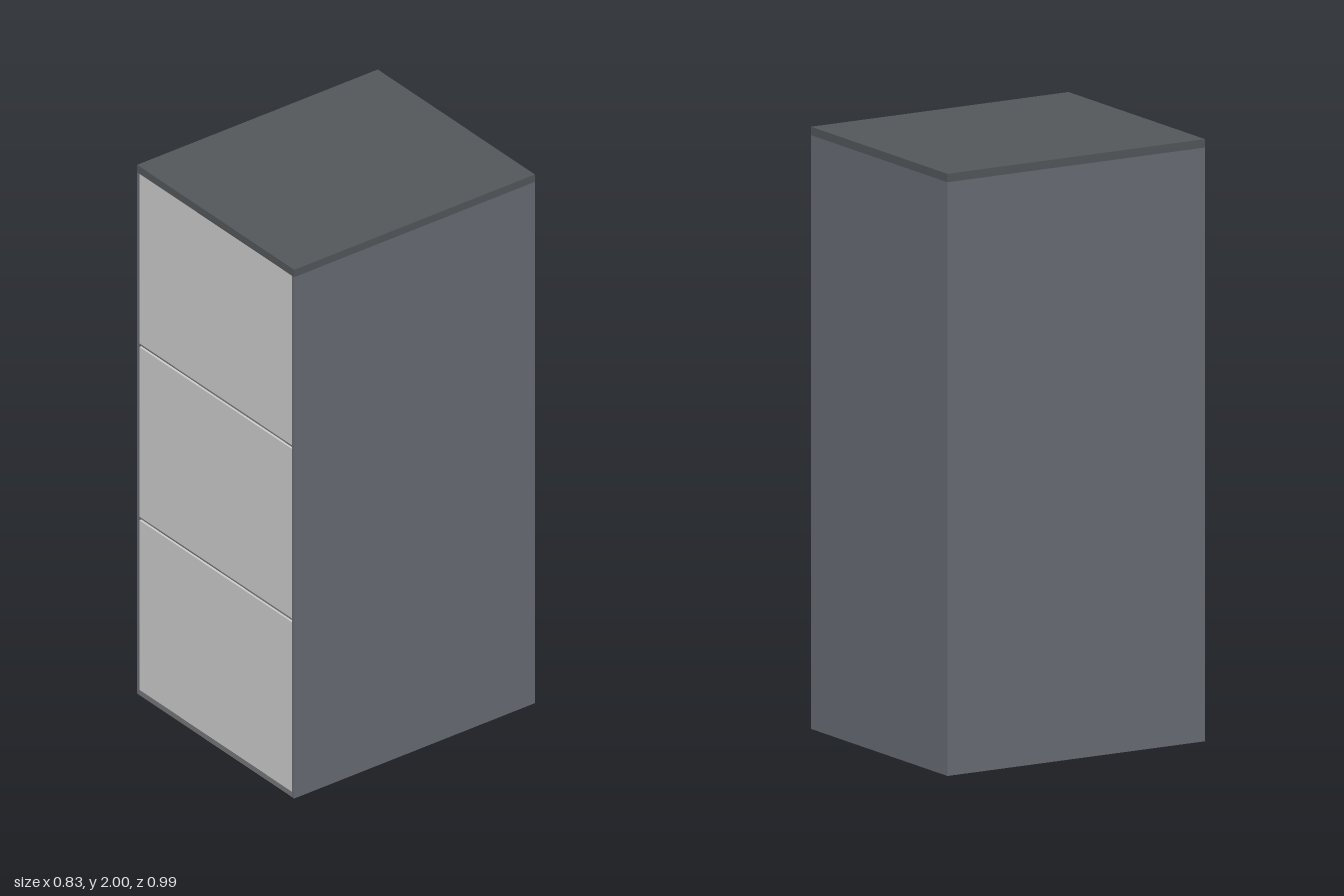
import * as THREE from 'three';

const W = 0.835, H = 2, D = 0.985; // overall width, height, depth
const T = 0.012;                   // side and back panel thickness
const TOP = 0.028, BASE = 0.02;    // top and base thickness

export function createModel() {
  const cabinet = new THREE.Group();
  cabinet.name = 'filingCabinet';
  const material = (color) => new THREE.MeshStandardMaterial({ color });
  const shell = material(0x686b74), lid = material(0x53575b);
  const rail = material(0x77777a), front = material(0xcccccc);

  // Box placed by its lower face and its front face
  function panel(name, w, h, d, x, y, zFront, mat) {
    const mesh = new THREE.Mesh(new THREE.BoxGeometry(w, h, d), mat);
    mesh.name = name;
    mesh.position.set(x, y + h / 2, zFront - d / 2);
    cabinet.add(mesh);
  }

  // Carcass
  const inner = W - 2 * T, sideH = H - TOP;
  panel('top', W, TOP, D, 0, sideH, D / 2, lid);
  panel('base', inner, BASE, D - T, 0, 0, D / 2, rail);
  panel('back', inner, sideH, T, 0, 0, -D / 2 + T, shell);
  for (const s of [-1, 1]) {
    panel(s > 0 ? 'leftSide' : 'rightSide', T, sideH, D, s * (W - T) / 2, 0, D / 2, shell);
  }

  // Three flush drawers with slim recessed rails between them
  const gap = 0.014, count = 3;
  const drawerH = (sideH - BASE - gap * (count - 1)) / count;
  for (let i = 0; i < count; i++) {
    const y = BASE + i * (drawerH + gap);
    panel('drawer' + (i + 1), inner, drawerH, D - T, 0, y, D / 2, front);
    if (i < count - 1) panel('rail' + (i + 1), inner, gap, D - T - 0.008, 0, y + drawerH, D / 2 - 0.008, rail);
  }
  return cabinet;
}
